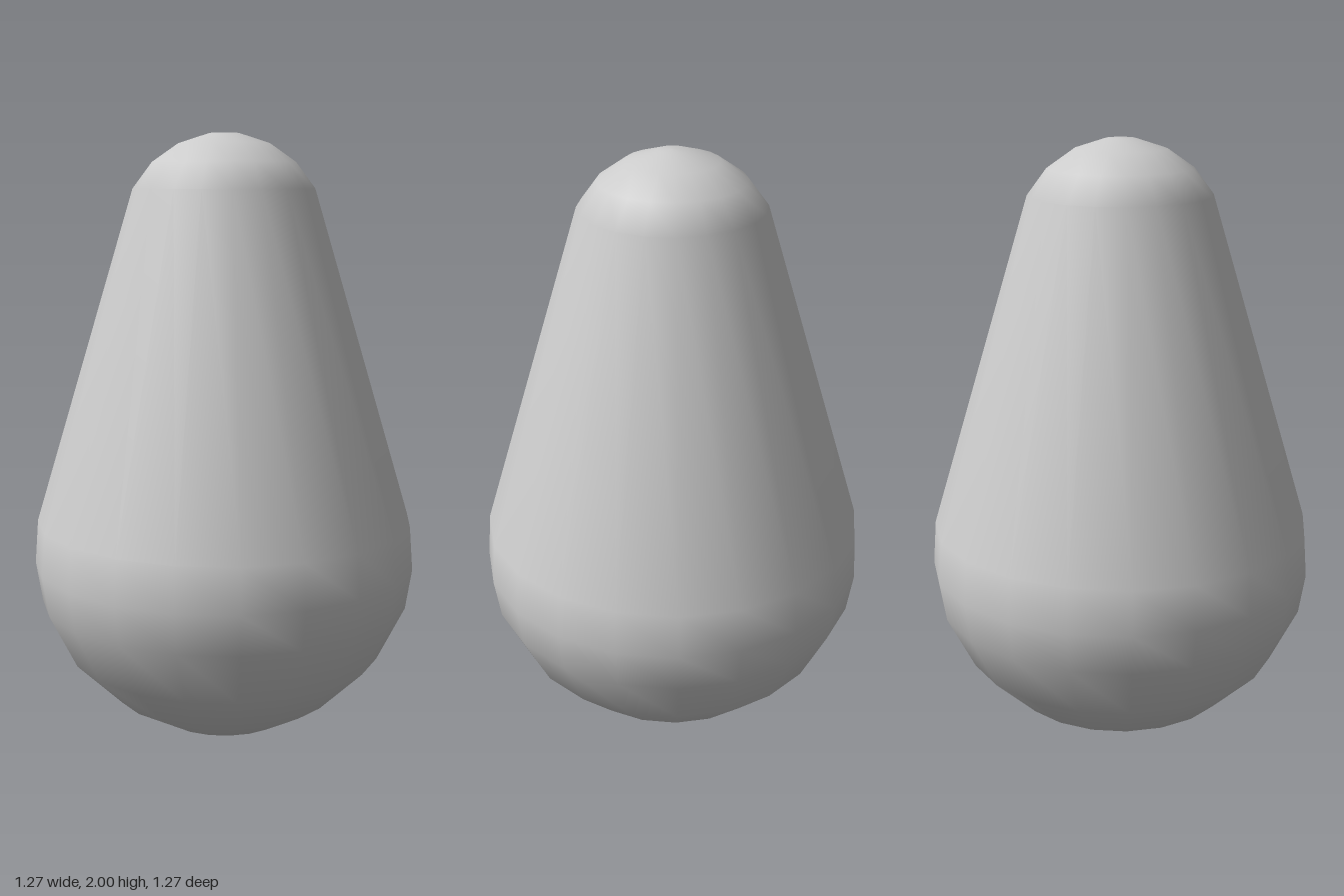
import * as THREE from 'three';

export function createModel() {
  const group = new THREE.Group();
  group.name = 'taperedCapsule';

  // Profile (radius, height): round base, straight taper, round tip
  const profile = [
    [0, 0.005], [0.11, 0.013], [0.215, 0.04], [0.37, 0.127], [0.523, 0.275],
    [0.614, 0.457], [0.635, 0.59], [0.624, 0.735],
    [0.296, 1.823], [0.233, 1.907], [0.148, 1.966], [0.048, 1.998], [0, 2],
  ].map(([r, y]) => new THREE.Vector2(r, y));

  const body = new THREE.Mesh(
    new THREE.LatheGeometry(profile, 20),
    new THREE.MeshStandardMaterial({ color: 0xcccccc })
  );
  body.name = 'body';
  group.add(body);
  return group;
}
